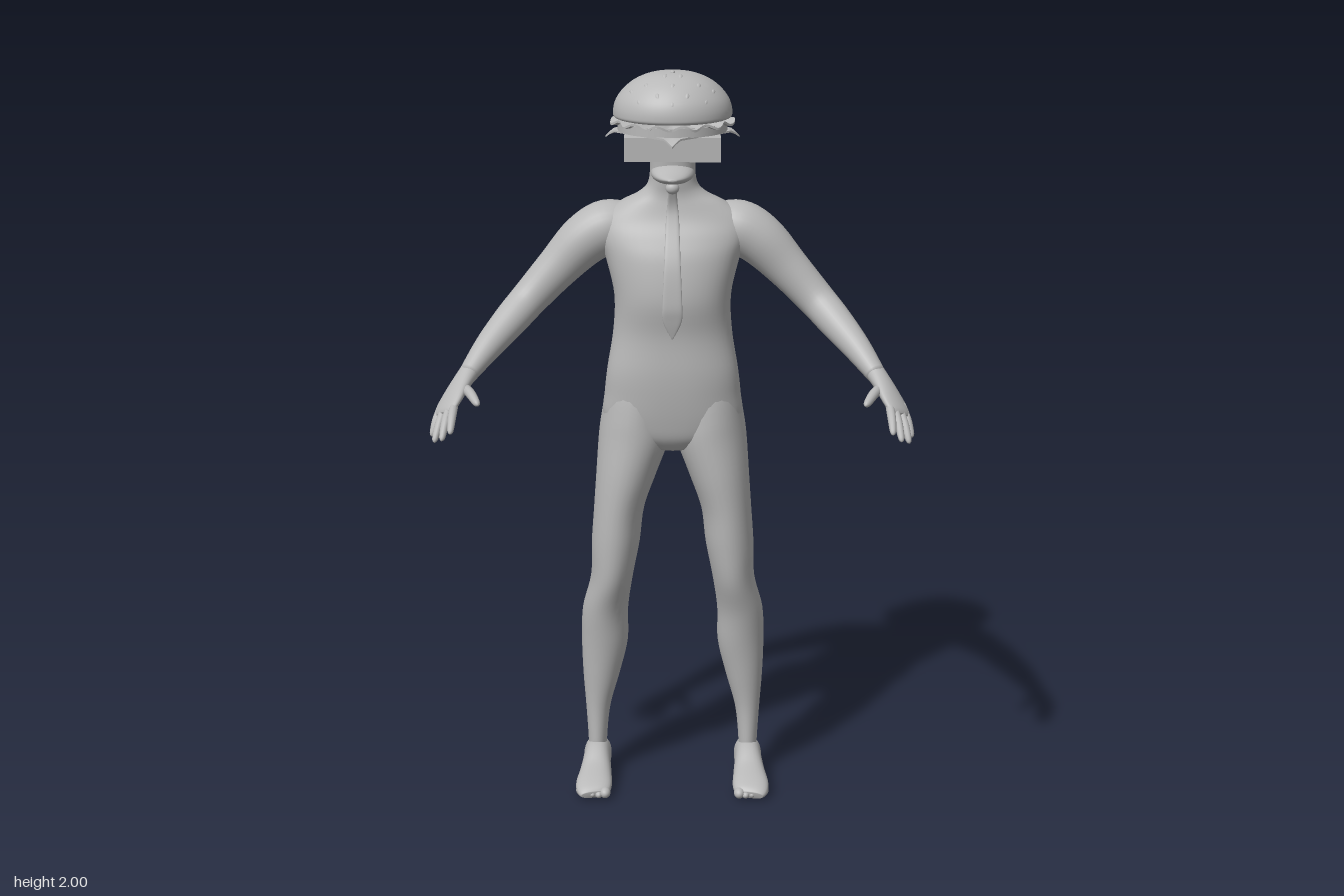
import * as THREE from 'three';

const grey = new THREE.MeshStandardMaterial({ color: 0xb8b8b8 });
grey.name = 'plain grey';

const mesh = (name, geometry, x = 0, y = 0, z = 0) => {
  const m = new THREE.Mesh(geometry, grey);
  m.name = name;
  m.position.set(x, y, z);
  return m;
};

// Smooth skin through sections [x, y, z, halfWidth, halfDepth].
// Width runs along the given axis; level sections stay horizontal.
function loft(name, sections, { axis = [1, 0, 0], level = false, power = 2, steps = 5, sides = 28, side = 1 } = {}) {
  const at = (k) => sections[Math.max(0, Math.min(sections.length - 1, k))];
  const rows = [];
  for (let i = 0; i < sections.length - 1; i++) {
    for (let s = 0; s < steps + (i === sections.length - 2 ? 1 : 0); s++) {
      const t = s / steps;
      rows.push(at(i).map((p1, c) => {
        const p0 = at(i - 1)[c], p2 = at(i + 1)[c], p3 = at(i + 2)[c];
        const v = p1 + 0.5 * t * (p2 - p0 + t * (2 * p0 - 5 * p1 + 4 * p2 - p3 + t * (3 * (p1 - p2) + p3 - p0)));
        return c > 2 ? Math.max(v, 0.001) : c === 0 ? v * side : v;
      }));
    }
  }
  const pos = [], idx = [];
  const centre = rows.map((r) => new THREE.Vector3(r[0], r[1], r[2]));
  const ref = new THREE.Vector3(axis[0] * side, axis[1], axis[2]);
  const round = (v) => Math.sign(v) * Math.abs(v) ** (2 / power);
  rows.forEach((r, i) => {
    const T = centre[Math.min(i + 1, rows.length - 1)].clone().sub(centre[Math.max(i - 1, 0)]).normalize();
    if (level) T.set(0, Math.sign(T.y), 0);
    const A = ref.clone().addScaledVector(T, -ref.dot(T)).normalize();
    const B = T.clone().cross(A);
    for (let j = 0; j < sides; j++) {
      const q = (j / sides) * Math.PI * 2;
      const p = centre[i].clone().addScaledVector(A, r[3] * round(Math.cos(q))).addScaledVector(B, r[4] * round(Math.sin(q)));
      pos.push(p.x, p.y, p.z);
    }
  });
  const last = (rows.length - 1) * sides, c0 = rows.length * sides;
  pos.push(...centre[0].toArray(), ...centre[rows.length - 1].toArray());
  for (let j = 0; j < sides; j++) {
    const k = (j + 1) % sides;
    for (let i = 0; i < rows.length - 1; i++) {
      const a = i * sides, b = a + sides;
      idx.push(a + j, a + k, b + k, a + j, b + k, b + j);
    }
    idx.push(c0, k, j, c0 + 1, last + j, last + k);
  }
  const g = new THREE.BufferGeometry();
  g.setAttribute('position', new THREE.Float32BufferAttribute(pos, 3));
  g.setIndex(idx);
  g.computeVertexNormals();
  return mesh(name, g);
}

function ball(name, x, y, z, a, b, c) {
  const m = mesh(name, new THREE.SphereGeometry(1, 20, 14), x, y, z);
  m.scale.set(a, b, c);
  return m;
}

function makeArm(s) {
  const g = new THREE.Group();
  g.name = s > 0 ? 'leftArm' : 'rightArm';
  g.add(loft('armSkin', [
    [0.1, 1.585, -0.145, 0.05, 0.055], [0.17, 1.575, -0.145, 0.073, 0.075], [0.235, 1.54, -0.137, 0.07, 0.07],
    [0.31, 1.465, -0.125, 0.058, 0.054], [0.385, 1.385, -0.105, 0.05, 0.049], [0.435, 1.335, -0.055, 0.046, 0.046],
    [0.49, 1.28, 0.015, 0.037, 0.037], [0.54, 1.222, 0.085, 0.025, 0.029],
  ], { axis: [0.7, 0.7, 0], side: s }));
  // palm and fingers
  g.add(loft('palm', [
    [0.53, 1.235, 0.07, 0.026, 0.026], [0.555, 1.205, 0.11, 0.035, 0.022], [0.578, 1.172, 0.15, 0.045, 0.018],
    [0.592, 1.15, 0.178, 0.043, 0.014], [0.597, 1.142, 0.188, 0.03, 0.008],
  ], { axis: [0.55, -0.25, -0.75], side: s }));
  const fingers = [
    ['indexFinger', [0.568, 1.163, 0.195], [0.572, 1.113, 0.268]],
    ['middleFinger', [0.582, 1.153, 0.19], [0.595, 1.093, 0.262]],
    ['ringFinger', [0.597, 1.146, 0.175], [0.617, 1.08, 0.232]],
    ['littleFinger', [0.607, 1.145, 0.155], [0.627, 1.084, 0.19]],
    ['thumb', [0.548, 1.198, 0.118], [0.502, 1.178, 0.222]],
  ];
  for (const [name, a, b] of fingers) {
    const mid = (t, up) => a.map((v, c) => v + (b[c] - v) * t + (c === 1 ? up : 0));
    const w = name === 'thumb' ? 0.014 : 0.0115;
    g.add(loft(name, [
      [...mid(-0.3, -0.004), w, w], [...mid(0.1, 0.002), w, w], [...mid(0.5, 0.006), w * 0.95, w * 0.95],
      [...mid(0.9, 0.001), w * 0.7, w * 0.7], [...b, 0.002, 0.002],
    ], { sides: 12, steps: 3, side: s }));
  }
  return g;
}

function makeLeg(s) {
  const g = new THREE.Group();
  g.name = s > 0 ? 'leftLeg' : 'rightLeg';
  g.add(loft('legSkin', [
    [0.212, 0.04, -0.135, 0.026, 0.036], [0.212, 0.1, -0.135, 0.026, 0.038], [0.21, 0.2, -0.138, 0.034, 0.042],
    [0.2, 0.3, -0.138, 0.051, 0.053], [0.19, 0.4, -0.135, 0.064, 0.064], [0.187, 0.5, -0.128, 0.063, 0.076],
    [0.168, 0.6, -0.112, 0.058, 0.089], [0.157, 0.7, -0.108, 0.066, 0.095], [0.147, 0.8, -0.11, 0.069, 0.1],
    [0.126, 0.9, -0.114, 0.083, 0.107], [0.104, 1.0, -0.125, 0.098, 0.115], [0.1, 1.06, -0.128, 0.094, 0.115],
    [0.095, 1.13, -0.12, 0.085, 0.099], [0.09, 1.2, -0.105, 0.06, 0.07],
  ], { level: true, side: s }));
  // foot and toes
  g.add(loft('foot', [
    [0.207, 0.03, -0.2, 0.012, 0.015], [0.209, 0.039, -0.185, 0.032, 0.037], [0.212, 0.05, -0.145, 0.038, 0.05],
    [0.213, 0.052, -0.095, 0.038, 0.05], [0.215, 0.037, -0.04, 0.044, 0.037], [0.218, 0.027, 0.02, 0.05, 0.027],
    [0.219, 0.02, 0.055, 0.045, 0.019], [0.217, 0.016, 0.07, 0.034, 0.01],
  ], { power: 2.3, side: s }));
  for (let i = 0; i < 5; i++) {
    const r = i === 0 ? 0.015 : 0.0115;
    g.add(ball('toe', s * (0.186 + i * 0.0175), r + 0.004, 0.06 - i * i * 0.0015, r, r, 0.02));
  }
  return g;
}

function makeBurger() {
  const g = new THREE.Group();
  g.name = 'burgerHead';
  g.position.z = -0.102;
  g.add(mesh('bottomBun', new THREE.BoxGeometry(0.252, 0.064, 0.222), 0, 1.808, 0));
  // square slice turned by 45 degrees with drooping corners
  const slice = new THREE.BoxGeometry(0.25, 0.005, 0.25, 16, 1, 16).rotateY(Math.PI / 4);
  const p = slice.attributes.position;
  for (let i = 0; i < p.count; i++) {
    const r = Math.hypot(p.getX(i), p.getZ(i));
    p.setY(i, p.getY(i) - Math.max(0, r - 0.158) * 0.9);
  }
  slice.computeVertexNormals();
  g.add(mesh('cheese', slice, 0, 1.842, 0));
  g.add(mesh('patty', new THREE.CylinderGeometry(0.145, 0.145, 0.024, 48).scale(1, 1, 0.95), 0, 1.855, 0));
  // ruffled leaf
  const leaf = new THREE.CylinderGeometry(0.16, 0.16, 0.006, 96, 1).scale(1, 1, 0.94);
  const q = leaf.attributes.position;
  for (let i = 0; i < q.count; i++) {
    const a = Math.atan2(q.getZ(i), q.getX(i)), k = 1 + 0.035 * Math.sin(a * 11);
    if (Math.hypot(q.getX(i), q.getZ(i)) < 0.01) continue;
    q.setXYZ(i, q.getX(i) * k, q.getY(i) + 0.006 * Math.sin(a * 14 + 1), q.getZ(i) * k);
  }
  leaf.computeVertexNormals();
  g.add(mesh('lettuce', leaf, 0, 1.868, 0));
  // domed top bun
  const profile = new THREE.SplineCurve([
    [0, 1.874], [0.08, 1.874], [0.146, 1.876], [0.157, 1.893], [0.146, 1.931], [0.11, 1.969], [0.06, 1.992], [0, 2],
  ].map(([x, y]) => new THREE.Vector2(x, y))).getPoints(40).map((v) => v.setX(Math.max(0, v.x)));
  const bun = mesh('topBun', new THREE.LatheGeometry(profile, 56));
  bun.scale.z = 0.93;
  g.add(bun);
  // sesame seeds on the front of the dome: [sideways angle, tilt from the top]
  const seeds = [[0, 0.16], [-0.35, 0.4], [0.35, 0.4], [-0.7, 0.75], [0.7, 0.75], [0, 0.72], [-0.3, 1.0], [0.3, 1.0],
    [-1.0, 0.95], [1.0, 0.95], [0, 1.2], [-0.65, 1.17], [0.65, 1.17]];
  for (const [a, t] of seeds) {
    const n = new THREE.Vector3(Math.sin(a) * Math.sin(t), Math.cos(t), Math.cos(a) * Math.sin(t));
    const seed = ball('sesameSeed', n.x * 0.155, 1.885 + n.y * 0.115, n.z * 0.144, 0.006, 0.004, 0.01);
    seed.quaternion.setFromUnitVectors(new THREE.Vector3(0, 1, 0), n);
    g.add(seed);
  }
  return g;
}

export function createModel() {
  const model = new THREE.Group();
  model.name = 'burgerHeadedFigure';
  // trunk from the crotch to the neck
  model.add(loft('torso', [
    [0, 0.975, -0.1, 0.05, 0.05], [0, 1.01, -0.11, 0.15, 0.085], [0, 1.06, -0.113, 0.188, 0.1],
    [0, 1.13, -0.108, 0.184, 0.104], [0, 1.2, -0.1, 0.176, 0.1], [0, 1.3, -0.108, 0.16, 0.107],
    [0, 1.4, -0.108, 0.157, 0.12], [0, 1.5, -0.12, 0.18, 0.119], [0, 1.56, -0.13, 0.2, 0.106],
    [0, 1.605, -0.136, 0.195, 0.088], [0, 1.645, -0.13, 0.143, 0.07], [0, 1.675, -0.122, 0.088, 0.058],
    [0, 1.71, -0.112, 0.063, 0.052], [0, 1.79, -0.105, 0.06, 0.052],
  ], { level: true, power: 2.3, sides: 48 }));
  // jaw jutting forward below the bun
  model.add(loft('jaw', [
    [0, 1.735, -0.12, 0.058, 0.03], [0, 1.73, -0.06, 0.055, 0.026], [0, 1.727, -0.015, 0.036, 0.014],
    [0, 1.728, 0.02, 0.01, 0.004],
  ]));
  // necktie
  model.add(ball('tieKnot', 0, 1.7, -0.03, 0.018, 0.016, 0.015));
  model.add(loft('tie', [
    [0, 1.7, -0.035, 0.01, 0.006], [0, 1.65, -0.052, 0.014, 0.006], [0, 1.6, -0.043, 0.018, 0.006],
    [0, 1.5, 0.0, 0.022, 0.006], [0, 1.4, 0.014, 0.026, 0.006], [0, 1.35, 0.009, 0.025, 0.006],
    [0, 1.3, 0.001, 0.002, 0.003],
  ], { power: 4 }));
  for (const s of [1, -1]) model.add(makeArm(s), makeLeg(s));
  model.add(makeBurger());
  return model;
}
